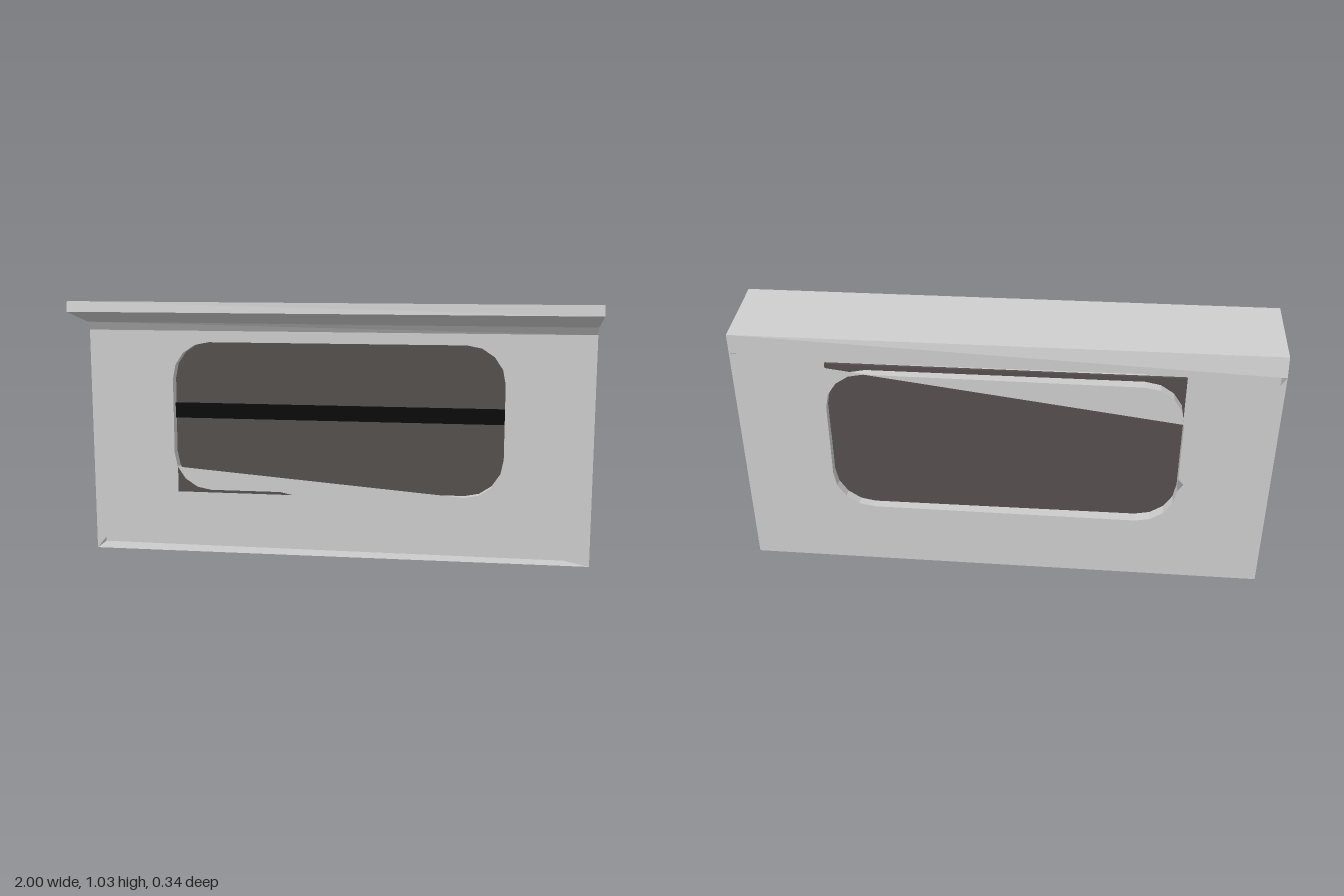
import * as THREE from 'three';

const wallMat = new THREE.MeshStandardMaterial({ color: 0xcccccc, flatShading: true, side: THREE.DoubleSide });
const glassMat = new THREE.MeshStandardMaterial({ color: 0x544f4d });
const railMat = new THREE.MeshStandardMaterial({ color: 0x0a0a0a });

// the wall tapers in depth from its right end (x = -1) to its left end (x = 1)
const taper = (atRight, atLeft) => x => atRight + (atLeft - atRight) * (x + 1) / 2;
const frontZ = taper(-0.068, -0.082);
const backZ = taper(-0.17, -0.155);

// quad strip between two equally long rows of points
function strip(a, b) {
  const pos = [], index = [];
  a.forEach((p, i) => {
    pos.push(...p, ...b[i]);
    const k = i * 2;
    if (i) index.push(k - 2, k, k - 1, k - 1, k, k + 1);
  });
  const g = new THREE.BufferGeometry();
  g.setAttribute('position', new THREE.Float32BufferAttribute(pos, 3));
  g.setIndex(index);
  g.computeVertexNormals();
  return g;
}

// flat outline laid onto a tapering wall plane
function panel(points, zAt, reverse) {
  const g = new THREE.ShapeGeometry(new THREE.Shape(points.map(p => new THREE.Vector2(...p))));
  const pos = g.attributes.position;
  for (let i = 0; i < pos.count; i++) pos.setZ(i, zAt(pos.getX(i)));
  if (reverse) g.setIndex([...g.index.array].reverse());
  g.computeVertexNormals();
  return g;
}

export function createModel() {
  const model = new THREE.Group();
  model.name = 'windowWall';
  const add = (name, geometry, material = wallMat) => {
    const m = new THREE.Mesh(geometry, material);
    m.name = name;
    model.add(m);
    return m;
  };

  // rounded window opening, five points per corner, counter-clockwise from the upper left side
  const hole = [];
  [[0.51, 0.71], [-0.51, 0.71], [-0.51, 0.41], [0.51, 0.41]].forEach(([cx, cy], k) => {
    for (let i = 0; i <= 4; i++) {
      const a = (k + i / 4) * Math.PI / 2;
      hole.push([cx + 0.15 * Math.cos(a), cy + 0.15 * Math.sin(a)]);
    }
  });
  const run = (from, to) => hole.slice(from, to + 1);

  // front face, open along the bottom, with a sliver across the opening
  add('frontWall', panel([
    [-1, 0], hole[10], ...run(0, 9).reverse(), ...run(15, 19).reverse(),
    ...run(11, 14), [-0.226, 0.26], [1, 0], [1, 0.905], [-1, 0.905],
  ], frontZ));

  // back face, open along the top, with a sliver across the opening
  add('backWall', panel([
    [-1, 0.925], ...run(10, 19), ...run(0, 4), ...run(5, 9).reverse(),
    [0.49, 0.86], [1, 0.925], [1, 0], [-1, 0],
  ], backZ, true));

  // inner rim of the opening
  const loop = [...hole, hole[0]];
  add('windowRim', strip(
    loop.map(([x, y]) => [x, y, frontZ(x)]),
    loop.map(([x, y]) => [x, y, backZ(x)])));

  // side profile at either end as [z, y], front foot round to back foot
  const rightEnd = [[-0.068, 0], [-0.068, 0.905], [-0.048, 0.938], [0.168, 0.99],
    [0.16, 1.03], [-0.155, 1], [-0.17, 0.925], [-0.17, 0]];
  const leftEnd = [[-0.082, 0], [-0.082, 0.905], [-0.06, 0.935], [0.162, 0.99],
    [0.157, 1.03], [-0.155, 1], [-0.155, 0.925], [-0.155, 0]];
  const at = (x, profile) => profile.map(([z, y]) => [x, y, z]);

  // eave between the ends, and the bottom face
  const face = (name, ids) => add(name, strip(
    at(-1, ids.map(i => rightEnd[i])), at(1, ids.map(i => leftEnd[i]))));
  face('eave', [1, 2, 3, 4, 5, 6]);
  face('bottom', [7, 0]);

  // end caps
  [[-1, rightEnd, 'rightEndCap'], [1, leftEnd, 'leftEndCap']].forEach(([x, profile, name]) => {
    const shape = new THREE.Shape(profile.map(([z, y]) => new THREE.Vector2(-x * z, y)));
    add(name, new THREE.ShapeGeometry(shape).rotateY(x * Math.PI / 2)).position.x = x;
  });

  // two sliding panes and the meeting rail in front of them
  add('upperPane', new THREE.BoxGeometry(1.32, 0.3, 0.01), glassMat).position.set(0, 0.73, -0.12);
  add('lowerPane', new THREE.BoxGeometry(1.32, 0.34, 0.01), glassMat).position.set(0, 0.41, -0.117);
  add('meetingRail', new THREE.BoxGeometry(1.32, 0.06, 0.016), railMat).position.set(0, 0.58, -0.108);

  return model;
}
